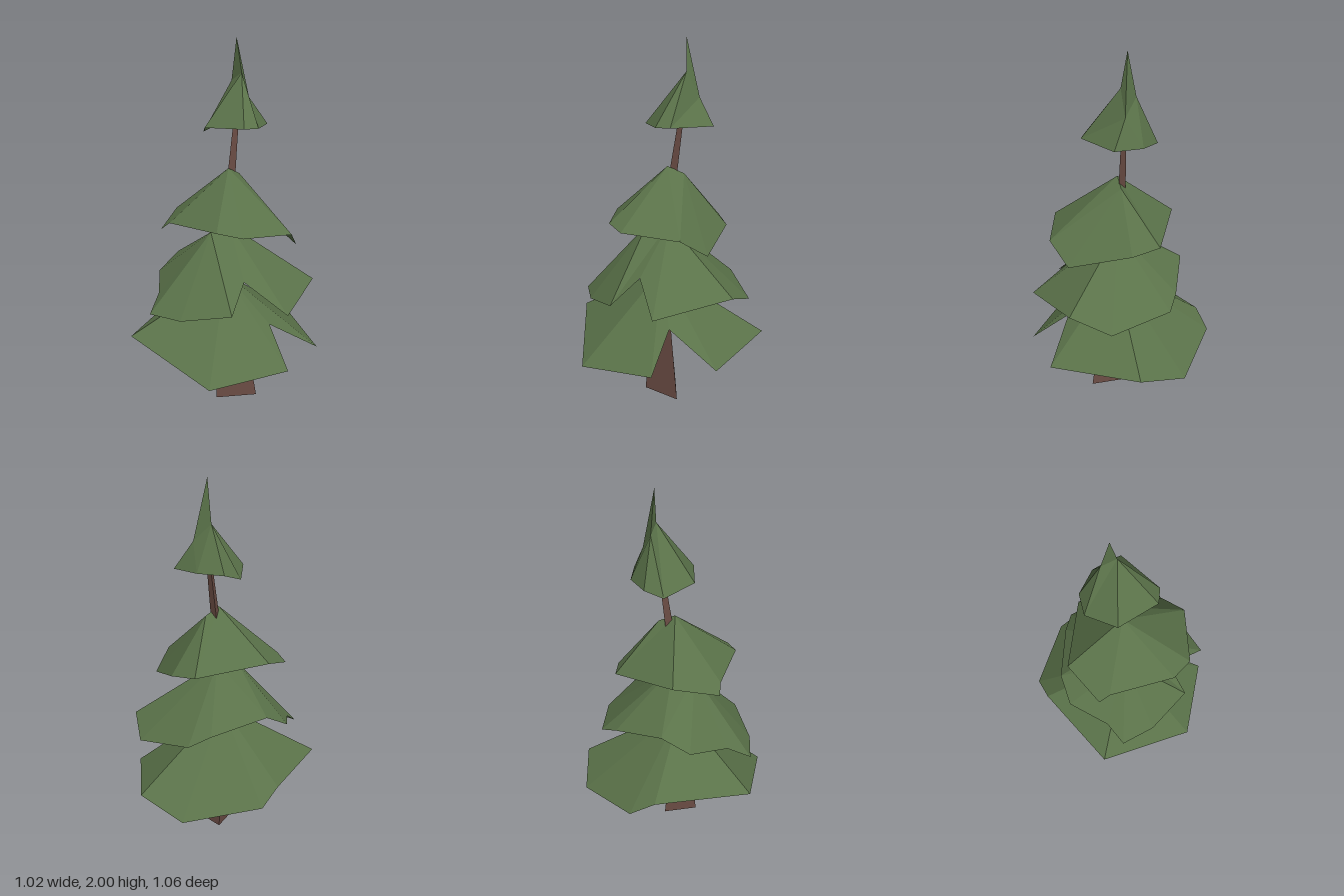
import * as THREE from 'three';

const foliage = new THREE.MeshStandardMaterial({ color: 0x5a7249, side: THREE.DoubleSide });
foliage.name = 'foliage green';
const bark = new THREE.MeshStandardMaterial({ color: 0x694b43, side: THREE.DoubleSide });
bark.name = 'bark brown';

// Faceted mesh from a flat list of corner points, three per triangle
function facetMesh(name, corners, material) {
  const geometry = new THREE.BufferGeometry();
  geometry.setAttribute('position', new THREE.Float32BufferAttribute(corners.flat(), 3));
  geometry.computeVertexNormals();
  const mesh = new THREE.Mesh(geometry, material);
  mesh.name = name;
  return mesh;
}

// Open skirt of branches: each rim entry is [x, y, z, index of the crown point above it]
function branchTier(name, crown, rim, peak) {
  const corners = [];
  rim.forEach((r, i) => {
    const next = rim[(i + 1) % rim.length];
    const a = r.slice(0, 3), b = next.slice(0, 3);
    const up = crown[r[3]], upNext = crown[next[3]];
    corners.push(b, a, up);
    if (up !== upNext) {
      corners.push(b, up, upNext);
      if (peak) corners.push(upNext, up, peak);
    }
  });
  return facetMesh(name, corners, foliage);
}

// Three-sided bent trunk from stacked rings
function trunk() {
  const rings = [
    [[-0.055, 0, -0.03], [0.045, 0, 0.135], [0.17, 0, -0.06]],
    [[-0.035, 0.6, 0.02], [0.03, 0.6, 0.085], [0.085, 0.6, 0]],
    [[-0.03, 1.25, -0.03], [-0.005, 1.25, 0.005], [0.01, 1.25, -0.04]],
    [[-0.025, 1.7, -0.085], [-0.014, 1.7, -0.07], [-0.005, 1.7, -0.09]],
  ];
  const corners = [rings[0][2], rings[0][1], rings[0][0], ...rings[3]];
  for (let k = 0; k < 3; k++) {
    for (let i = 0; i < 3; i++) {
      const j = (i + 1) % 3;
      const a = rings[k][i], b = rings[k][j], c = rings[k + 1][j], d = rings[k + 1][i];
      corners.push(a, b, c, a, c, d);
    }
  }
  return facetMesh('trunk', corners, bark);
}

export function createModel() {
  const tree = new THREE.Group();
  tree.name = 'pineTree';
  tree.add(trunk());

  // Rims run left, back, right, front
  tree.add(branchTier('bottomBranches', [[0.02, 0.72, 0.04]], [
    [-0.515, 0.34, -0.06, 0], [-0.31, 0.27, -0.425, 0], [-0.05, 0.345, -0.53, 0],
    [0.42, 0.31, -0.29, 0], [0.3, 0.48, -0.03, 0], [0.51, 0.3, 0.04, 0],
    [0.34, 0.26, 0.44, 0], [-0.21, 0.41, 0.53, 0], [-0.475, 0.41, 0.07, 0],
  ]));

  tree.add(branchTier('lowerMiddleBranches', [[0.01, 0.99, 0], [0, 0.97, 0.13]], [
    [-0.365, 0.77, 0.07, 0], [-0.285, 0.7, -0.23, 0], [-0.235, 0.65, -0.34, 0],
    [0.095, 0.595, -0.45, 0], [0.31, 0.67, -0.365, 0], [0.495, 0.605, 0.035, 0],
    [0.265, 0.75, 0.13, 0], [0.335, 0.615, 0.28, 1], [0.105, 0.565, 0.435, 1],
    [-0.085, 0.565, 0.49, 1], [-0.155, 0.64, 0.375, 1], [-0.345, 0.69, 0.225, 1],
  ]));

  tree.add(branchTier('upperMiddleBranches', [[0.01, 1.31, 0.01], [0, 1.27, -0.08]], [
    [-0.315, 1.05, 0.115, 0], [-0.185, 1.0, -0.265, 1], [-0.03, 0.98, -0.315, 1],
    [0.3, 0.895, -0.23, 1], [0.39, 0.995, -0.095, 0], [0.345, 1.02, 0.215, 0],
    [0.235, 1.04, 0.295, 0], [-0.125, 1.03, 0.315, 0], [-0.185, 0.985, 0.33, 0],
  ]));

  // Treetop with a narrow spike above its shoulders
  const shoulders = [[-0.075, 1.77, -0.09], [-0.01, 1.68, -0.16], [0.005, 1.815, -0.09]];
  tree.add(branchTier('treetop', shoulders, [
    [-0.185, 1.49, 0.02, 0], [-0.19, 1.52, -0.085, 0], [-0.1, 1.53, -0.195, 1],
    [0.055, 1.535, -0.24, 1], [0.205, 1.54, -0.025, 2], [0.18, 1.54, 0.055, 2],
    [-0.04, 1.535, 0.135, 2],
  ], [-0.03, 2, -0.085]));
  return tree;
}
